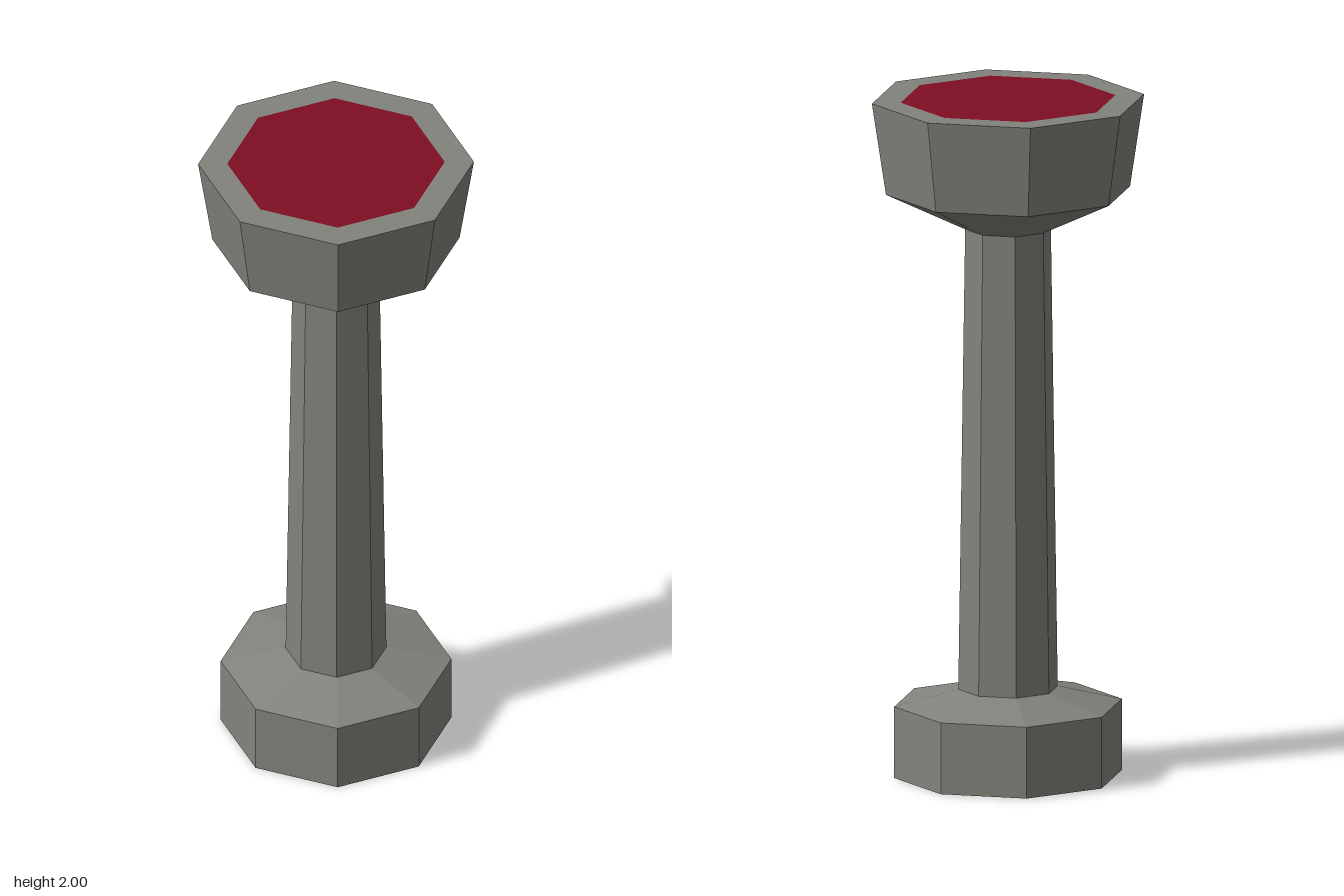
import * as THREE from 'three';

const SIDES = 8;

// Faceted octagonal solid from [radius, height] pairs, listed bottom to top
function turned(name, profile, material) {
  const points = profile.map(([r, y]) => new THREE.Vector2(r, y));
  const geometry = new THREE.LatheGeometry(points, SIDES).toNonIndexed();
  geometry.computeVertexNormals();
  const mesh = new THREE.Mesh(geometry, material);
  mesh.name = name;
  return mesh;
}

export function createModel() {
  const stone = new THREE.MeshStandardMaterial({ color: 0x83837d, flatShading: true });
  stone.name = 'grey stone';
  const red = new THREE.MeshStandardMaterial({ color: 0x7e0e23, flatShading: true });
  red.name = 'dark red';

  const model = new THREE.Group();
  model.name = 'pedestal';

  // Foot with a sloped shoulder
  model.add(turned('foot', [[0, 0], [0.332, 0], [0.332, 0.21], [0.145, 0.255]], stone));

  // Slightly tapering column
  model.add(turned('column', [[0.145, 0.255], [0.125, 1.61]], stone));

  // Flared bowl with a flat rim
  model.add(turned('bowl', [[0.125, 1.61], [0.356, 1.72], [0.397, 1.99], [0.313, 1.99]], stone));

  // Very shallow domed filling
  model.add(turned('filling', [[0.313, 1.99], [0, 2]], red));

  return model;
}
